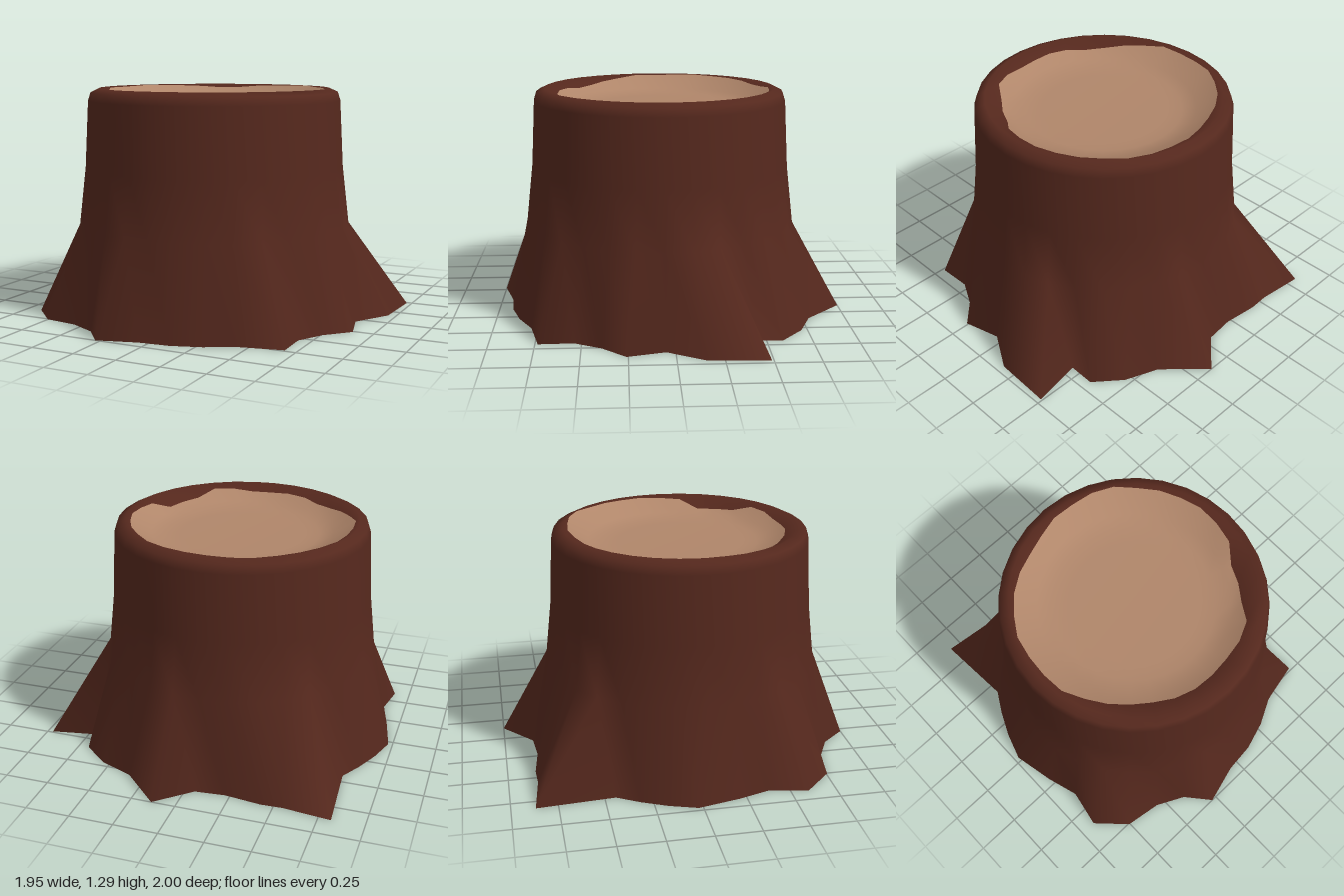
import * as THREE from 'three';

const SIDES = 32;
const CX = -0.05, CZ = 0.05; // trunk axis

// Ragged root outline on the ground as [x, z], starting at the front and going towards +x
const ROOTS = [
  [-0.055, 0.937], [0.12, 0.92], [0.285, 0.868], [0.44, 0.788], [0.685, 0.735], [0.68, 0.54], [0.76, 0.39], [0.885, 0.26],
  [0.83, 0.05], [0.955, -0.16], [0.97, -0.49], [0.685, -0.44], [0.69, -0.59], [0.54, -0.715], [0.35, -0.79], [0.135, -1],
  [-0.055, -0.835], [-0.225, -0.82], [-0.43, -0.845], [-0.55, -0.84], [-0.82, -0.87], [-0.79, -0.44], [-0.86, -0.32], [-0.925, -0.18],
  [-0.975, -0.025], [-0.925, 0.21], [-0.87, 0.39], [-0.91, 0.6], [-0.755, 0.755], [-0.55, 0.787], [-0.395, 0.865], [-0.28, 1],
];

// Uneven radius where the bark meets the cut wood
const CUT = [
  0.59, 0.59, 0.605, 0.61, 0.575, 0.57, 0.565, 0.61, 0.622, 0.635, 0.635, 0.64, 0.64, 0.655, 0.65, 0.635,
  0.632, 0.615, 0.612, 0.625, 0.635, 0.64, 0.65, 0.64, 0.637, 0.64, 0.615, 0.6, 0.585, 0.58, 0.592, 0.595,
];

// Inner slope of the rim, dropping away from its crest
const lipHeight = (r) => 1.29 - 6 * (0.67 - r) ** 2;

// A ring of points round the trunk axis
function ring(r, y) {
  return Array.from({ length: SIDES }, (_, i) => {
    const a = (i / SIDES) * Math.PI * 2;
    return [CX + Math.sin(a) * r, y, CZ + Math.cos(a) * r];
  });
}

// Jagged ring lying on the inner slope of the rim
function cutRing() {
  return CUT.map((r, i) => ring(r, lipHeight(r))[i]);
}

// Joins successive rings into one smooth surface
function loft(rings) {
  const index = [];
  for (let k = 0; k < rings.length - 1; k++) {
    for (let i = 0; i < SIDES; i++) {
      const j = (i + 1) % SIDES;
      const a = k * SIDES + i, b = k * SIDES + j, c = b + SIDES, d = a + SIDES;
      index.push(a, b, d, b, c, d);
    }
  }
  const geometry = new THREE.BufferGeometry();
  geometry.setAttribute('position', new THREE.Float32BufferAttribute(rings.flat(2), 3));
  geometry.setIndex(index);
  geometry.computeVertexNormals();
  return geometry;
}

export function createModel() {
  const bark = new THREE.MeshStandardMaterial({ color: 0x55281d, side: THREE.DoubleSide });
  bark.name = 'bark';
  const wood = new THREE.MeshStandardMaterial({ color: 0xb0866a, side: THREE.DoubleSide });
  wood.name = 'cutWood';

  const stump = new THREE.Group();
  stump.name = 'treeStump';

  // Hollow trunk: spreading roots, tapered wall, rounded rim and its inner lip
  const trunk = new THREE.Mesh(loft([
    ROOTS.map(([x, z]) => [x, 0, z]),
    ring(0.785, 0.51),
    ring(0.747, 0.84),
    ring(0.727, 1.22),
    ring(0.712, 1.268),
    ring(0.665, 1.29),
    cutRing(),
  ]), bark);
  trunk.name = 'trunk';

  // Shallow dished top of bare wood
  const top = new THREE.Mesh(loft([
    cutRing(),
    ring(0.52, 1.212),
    ring(0.44, 1.195),
    ring(0.35, 1.19),
    ring(0, 1.19),
  ]), wood);
  top.name = 'cutTop';

  stump.add(trunk, top);
  return stump;
}
